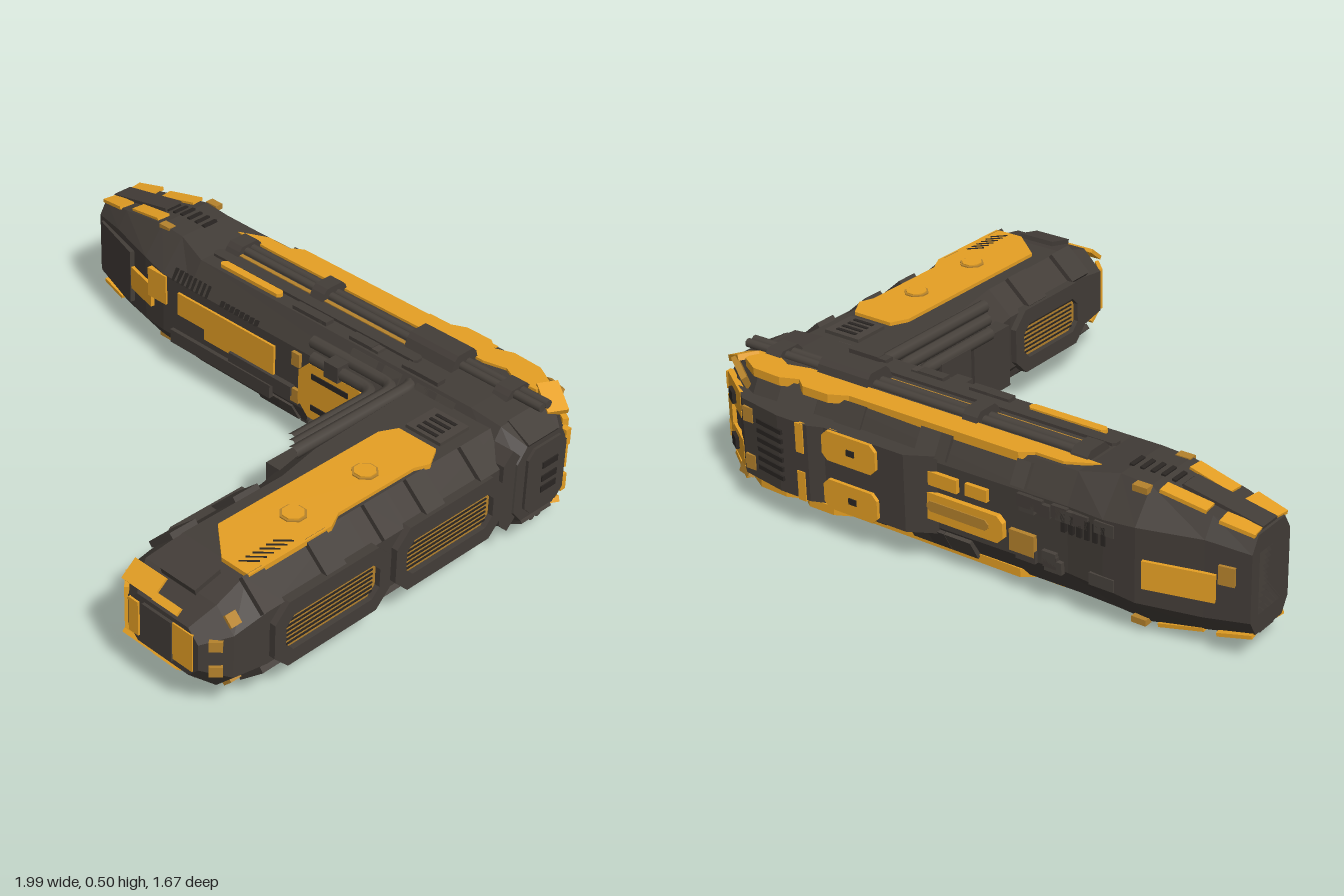
import * as THREE from 'three';

const MID = 0.25; // the hull mirrors about this height

export function createModel() {
  const model = new THREE.Group();
  const material = (name, color) => Object.assign(new THREE.MeshStandardMaterial({ color }), { name });
  const dark = material('dark hull', 0x433d38);
  const steel = material('lighter hull', 0x48423c);
  const black = material('recess black', 0x2a2623);
  const yellow = material('yellow paint', 0xe6a024);
  const worn = material('worn paint', 0xb5822c);

  let seed = 7;
  const rnd = (a, b) => { seed = (seed * 16807) % 2147483647; return a + (b - a) * seed / 2147483647; };

  function add(name, geo, mat) {
    const mesh = new THREE.Mesh(geo, mat);
    mesh.name = name;
    model.add(mesh);
    return mesh;
  }
  function box(name, mat, x0, x1, y0, y1, z0, z1) {
    const g = new THREE.BoxGeometry(x1 - x0, y1 - y0, z1 - z0);
    return add(name, g.translate((x0 + x1) / 2, (y0 + y1) / 2, (z0 + z1) / 2), mat);
  }
  // the same box above and below the middle
  function boxPair(name, mat, x0, x1, y0, y1, z0, z1) {
    box(name, mat, x0, x1, y0, y1, z0, z1);
    box(name, mat, x0, x1, 2 * MID - y1, 2 * MID - y0, z0, z1);
  }
  function tilted(name, mat, x, y, z, w, h, d, rx, ry, rz) {
    const m = add(name, new THREE.BoxGeometry(w, h, d), mat);
    m.position.set(x, y, z);
    m.rotation.set(rx, ry, rz);
  }
  // outline extruded along an axis: x takes (z, y), y takes (x, z), z takes (x, y)
  function prism(name, mat, pts, axis, a, b, hole) {
    const shape = new THREE.Shape(pts.map(p => new THREE.Vector2(...p)));
    if (hole) shape.holes.push(new THREE.Path(hole.map(p => new THREE.Vector2(...p))));
    const g = new THREE.ExtrudeGeometry(shape, { depth: b - a, bevelEnabled: false });
    if (axis === 'x') g.rotateY(-Math.PI / 2).translate(b, 0, 0);
    if (axis === 'y') g.rotateX(Math.PI / 2).translate(0, b, 0);
    if (axis === 'z') g.translate(0, 0, a);
    return add(name, g, mat);
  }
  function prismPair(name, mat, pts, a, b) {
    prism(name, mat, pts, 'y', a, b);
    prism(name, mat, pts, 'y', 2 * MID - b, 2 * MID - a);
  }
  const oct = (u0, u1, v0, v1, c) => [[u0 + c, v0], [u1 - c, v0], [u1, v0 + c], [u1, v1 - c],
    [u1 - c, v1], [u0 + c, v1], [u0, v1 - c], [u0, v0 + c]];

  // chamfered hull from stations [position, low side, high side, half height, chamfer width, chamfer height]
  function hull(name, mat, stations, alongX) {
    const rings = stations.map(([s, lo, hi, h, cw, ch]) => [[lo, h - ch], [lo + cw, h], [hi - cw, h], [hi, h - ch],
      [hi, ch - h], [hi - cw, -h], [lo + cw, -h], [lo, ch - h]]
      .map(([u, v]) => alongX ? [s, v + MID, u] : [u, v + MID, s]));
    const pos = [];
    const tri = (a, b, c) => alongX ? pos.push(...a, ...b, ...c) : pos.push(...a, ...c, ...b);
    for (let i = 0; i < rings.length - 1; i++) {
      for (let j = 0; j < 8; j++) {
        const k = (j + 1) % 8, A = rings[i], B = rings[i + 1];
        tri(A[j], A[k], B[k]);
        tri(A[j], B[k], B[j]);
      }
    }
    const first = rings[0], last = rings[rings.length - 1];
    for (let j = 1; j < 7; j++) {
      tri(first[0], first[j + 1], first[j]);
      tri(last[0], last[j], last[j + 1]);
    }
    const g = new THREE.BufferGeometry();
    g.setAttribute('position', new THREE.Float32BufferAttribute(pos, 3));
    g.computeVertexNormals();
    return add(name, g, mat);
  }

  // main arm, tapering to the left end
  hull('mainArm', dark, [
    [-1, -0.69, -0.49, 0.16, 0.03, 0.05], [-0.86, -0.715, -0.45, 0.185, 0.04, 0.06],
    [-0.66, -0.765, -0.395, 0.222, 0.08, 0.1], [-0.55, -0.765, -0.375, 0.222, 0.09, 0.11],
    [-0.42, -0.755, -0.375, 0.2, 0.055, 0.09], [0.78, -0.77, -0.375, 0.2, 0.05, 0.09],
    [0.9, -0.71, -0.38, 0.19, 0.045, 0.07], [0.98, -0.65, -0.42, 0.14, 0.04, 0.05]], true);
  // side arm, running forwards
  hull('sideArm', dark, [
    [-0.5, 0.47, 0.96, 0.175, 0.09, 0.08], [0.05, 0.49, 0.96, 0.175, 0.09, 0.08],
    [0.22, 0.52, 0.96, 0.175, 0.09, 0.08], [0.62, 0.52, 0.96, 0.175, 0.09, 0.08],
    [0.75, 0.525, 0.955, 0.145, 0.07, 0.07], [0.825, 0.6, 0.89, 0.085, 0.04, 0.04]], false);

  // rear armour bulge
  prism('rearArmour', dark, [[0.05, -0.76], [0.14, -0.81], [0.45, -0.81], [0.5, -0.83], [0.62, -0.83],
    [0.79, -0.8], [0.86, -0.74]], 'y', 0.12, 0.38);

  // roof and floor paint of the main arm
  prismPair('mainStripe', yellow, [[-0.46, -0.64], [-0.36, -0.69], [-0.26, -0.69], [-0.22, -0.72], [0.42, -0.72], [0.48, -0.75],
    [0.58, -0.75], [0.62, -0.72], [0.68, -0.745], [0.79, -0.74], [0.86, -0.7], [0.86, -0.635], [0.78, -0.63], [0.72, -0.66],
    [0.64, -0.64], [-0.3, -0.635]], 0.43, 0.459);
  for (const s of [1, -1]) tilted('mainStripeEnd', yellow, 0.905, MID + s * 0.188, -0.66, 0.11, 0.02, 0.07, 0, -0.5, -s * 0.4);
  prismPair('frontStripe', yellow, oct(-0.35, -0.07, -0.475, -0.445, 0.01), 0.44, 0.463);
  prismPair('frontRail', dark, oct(-0.42, 0.5, -0.52, -0.48, 0.01), 0.44, 0.46);
  prismPair('spinePaint', worn, [[-0.35, -0.555], [0.4, -0.555], [0.4, -0.54], [-0.35, -0.54]], 0.445, 0.453);

  // conduit with clamps down the spine
  for (const y of [0.455, 2 * MID - 0.455]) {
    for (const z of [-0.605, -0.575]) {
      const g = new THREE.CylinderGeometry(0.015, 0.015, 1.33, 10).rotateZ(Math.PI / 2);
      add('spineConduit', g.translate(0.27, y, z), steel);
    }
  }
  for (const [x0, x1, top] of [[-0.41, -0.35, 0.48], [-0.01, 0.045, 0.49], [0.41, 0.61, 0.498], [0.77, 0.83, 0.475]]) {
    const zy = [[-0.66, 0.42], [-0.64, top - 0.015], [-0.625, top], [-0.555, top], [-0.54, top - 0.015], [-0.51, 0.42]];
    prism('spineClamp', dark, zy, 'x', x0, x1);
    prism('spineClamp', dark, zy.map(([z, y]) => [z, 2 * MID - y]), 'x', x0, x1);
  }

  // tapered nose: ridge, paint plates and grilles
  for (const s of [1, -1]) {
    const y = v => MID + s * v;
    for (const side of [1, -1]) {
      tilted('noseTipPaint', yellow, -0.94, y(0.172), -0.59 + side * 0.066, 0.11, 0.012, 0.058, 0, -side * 0.15, s * 0.18);
      tilted('nosePaint', yellow, -0.765, y(0.205), -0.59 + side * 0.073, 0.15, 0.012, 0.05, 0, -side * 0.1, s * 0.19);
      tilted('noseRimPaint', worn, -0.64, y(0.215), -0.59 + side * 0.11, 0.05, 0.02, 0.03, 0, 0, 0);
    }
    tilted('noseRidge', dark, -0.86, y(0.187), -0.59, 0.27, 0.02, 0.075, 0, 0, s * 0.19);
    for (let i = 0; i < 8; i++) {
      const x = -0.8 + i * 0.036;
      const v = Math.min(0.222, 0.185 + (x + 0.86) * 0.185);
      tilted('noseGrille', black, x, y(v), -0.59, 0.014, 0.012, 0.06, 0, 0, s * 0.19);
    }
  }
  box('noseEnd', steel, -1.0, -0.99, 0.15, 0.35, -0.65, -0.53);
  tilted('noseRearPaint', yellow, -0.79, MID - 0.02, -0.737, 0.22, 0.09, 0.014, 0, 0.24, 0);
  tilted('noseRearSpot', worn, -0.93, MID + 0.03, -0.706, 0.05, 0.06, 0.014, 0, 0.18, 0);
  tilted('noseFrontPlate', dark, -0.86, MID, -0.447, 0.24, 0.2, 0.02, 0, -0.3, 0);
  tilted('noseFrontPaint', yellow, -0.685, 0.248, -0.4, 0.16, 0.085, 0.02, 0, -0.24, 0);
  box('noseFrontPaint', yellow, -0.62, -0.53, 0.25, 0.36, -0.39, -0.368);

  // front face of the main arm
  box('frontPaint', yellow, -0.47, -0.01, 0.24, 0.325, -0.38, -0.366);
  box('frontPaint', yellow, -0.34, -0.01, 0.2, 0.24, -0.38, -0.366);
  box('frontRib', dark, -0.21, 0.08, 0.18, 0.215, -0.39, -0.355);
  box('frontRib', dark, -0.5, -0.02, 0.12, 0.17, -0.39, -0.36);
  prism('frontHatch', yellow, oct(0.12, 0.43, 0.145, 0.352, 0.045), 'z', -0.38, -0.35);
  for (const y of [0.18, 0.3]) box('hatchSlot', black, 0.18, 0.34, y, y + 0.02, -0.352, -0.346);
  for (const y of [0.16, 0.3]) box('hatchEdgePaint', worn, 0.075, 0.11, y, y + 0.05, -0.38, -0.362);
  for (let i = 0; i < 8; i++) {
    tilted('frontVent', black, -0.5 + i * 0.023, 0.375, -0.39, 0.009, 0.045, 0.02, -0.5, 0, 0);
    tilted('frontVent', black, -0.26 + i * 0.023, 0.37, -0.377, 0.009, 0.02, 0.02, -0.5, 0, 0);
  }

  // rear face panels
  for (const y of [0.28, 0.115]) {
    prism('rearBlock', yellow, oct(0.24, 0.45, y, y + 0.1, 0.02), 'z', -0.822, -0.8);
    box('rearBlockSlot', black, 0.32, 0.35, y + 0.04, y + 0.06, -0.826, -0.82);
    box('rearBar', yellow, 0.515, 0.545, y, y + 0.1, -0.834, -0.82);
    box('rearSpot', worn, 0.74, 0.78, y + 0.03, y + 0.08, -0.812, -0.79);
  }
  prism('rearPanel', yellow, oct(-0.2, 0.13, 0.17, 0.26, 0.02), 'z', -0.777, -0.75);
  prism('rearPanelInset', worn, oct(-0.15, 0.08, 0.2, 0.235, 0.012), 'z', -0.781, -0.772);
  box('rearStrip', yellow, -0.03, 0.13, 0.285, 0.33, -0.775, -0.75);
  box('rearPaint', worn, -0.31, -0.22, 0.16, 0.23, -0.772, -0.755);
  box('rearPaint', yellow, -0.14, -0.06, 0.29, 0.33, -0.773, -0.755);
  for (let i = 0; i < 6; i++) {
    box('rearVent', black, -0.56 + i * 0.028, -0.545 + i * 0.028, 0.28, 0.34, -0.77, -0.755);
    tilted('rearGrille', black, 0.66, 0.168 + i * 0.032, -0.822, 0.12, 0.015, 0.012, 0, -0.174, 0);
  }

  // outer corner: painted struts with dark openings, and end block
  for (const s of [1, -1]) {
    tilted('cornerPaint', yellow, 0.885, MID + s * 0.085, -0.72, 0.17, 0.09, 0.02, 0, -0.6, 0);
    tilted('cornerOpening', black, 0.895, MID + s * 0.08, -0.722, 0.05, 0.04, 0.03, 0, -0.6, 0);
    tilted('cornerSlopePaint', worn, 0.86, MID + s * 0.158, -0.716, 0.11, 0.07, 0.02, -s * 0.5, -0.6, 0);
    tilted('cornerStrut', dark, 0.93, MID + s * 0.15, -0.53, 0.1, 0.05, 0.14, 0, 0, -s * 0.5);
    box('endPaint', yellow, 0.96, 0.985, MID + s * 0.085 - 0.03, MID + s * 0.085 + 0.03, -0.665, -0.642);
  }
  tilted('cornerPaint', yellow, 0.945, MID, -0.682, 0.05, 0.09, 0.02, 0, -0.6, 0);
  prism('endBlock', dark, oct(-0.64, -0.46, 0.13, 0.37, 0.03), 'x', 0.94, 0.99);
  for (const y of [0.19, 0.23, 0.28]) box('endSlot', black, 0.988, 0.994, y, y + 0.022, -0.6, -0.53);
  prism('endCollar', dark, oct(-0.44, -0.36, 0.1, 0.4, 0.04), 'x', 0.9, 0.975);

  // nested conduits bending round the inner corner
  for (const [d, v] of [[0, 0.128], [0.045, 0.15], [0.09, 0.17]]) {
    for (const s of [1, -1]) {
      const y = MID + s * v, x = 0.455 + d, z = -0.355 - d;
      const path = new THREE.CurvePath();
      const p = (a, b) => new THREE.Vector3(a, y, b);
      path.add(new THREE.LineCurve3(p(0.18 - d, z), p(x - 0.06, z)));
      path.add(new THREE.QuadraticBezierCurve3(p(x - 0.06, z), p(x, z), p(x, z + 0.06)));
      path.add(new THREE.LineCurve3(p(x, z + 0.06), p(x, 0.02 + d)));
      add('cornerConduit', new THREE.TubeGeometry(path, 36, 0.022, 8), steel);
    }
  }
  box('innerBracket', dark, 0.43, 0.53, 0.12, 0.38, -0.26, -0.11);
  box('innerBracket', dark, 0.465, 0.55, 0.14, 0.36, -0.05, 0.14);
  boxPair('conduitClamp', dark, 0.25, 0.31, 0.352, 0.41, -0.39, -0.33);

  // side arm roof and floor armour
  prismPair('sideArmPanel', yellow, [[0.69, -0.2], [0.84, -0.2], [0.88, -0.13], [0.86, -0.08], [0.86, 0.24], [0.89, 0.3],
    [0.89, 0.63], [0.78, 0.63], [0.66, 0.53], [0.66, -0.14]], 0.42, 0.437);
  for (const z of [0.04, 0.34]) {
    prismPair('panelBolt', worn, oct(0.735, 0.815, z - 0.04, z + 0.04, 0.025), 0.434, 0.441);
    prismPair('panelBoltCap', yellow, oct(0.742, 0.808, z - 0.033, z + 0.033, 0.02), 0.438, 0.445);
  }
  for (let i = 0; i < 6; i++) {
    for (const s of [1, -1]) tilted('panelScratch', black, 0.845, MID + s * 0.187, 0.45 + i * 0.027, 0.06, 0.004, 0.006, 0, 0.8, 0);
  }
  boxPair('roofHatch', steel, 0.69, 0.83, 0.42, 0.437, -0.36, -0.23);
  for (let i = 0; i < 4; i++) boxPair('roofHatchSlot', black, 0.72, 0.8, 0.435, 0.44, -0.34 + i * 0.028, -0.328 + i * 0.028);

  // framed windows with slats: [side, z0, z1]
  for (const [side, z0, z1] of [[1, 0.14, 0.615], [1, -0.36, 0.115], [-1, 0.22, 0.62]]) {
    const wall = side > 0 ? 0.96 : 0.52;
    const at = (name, mat, pts, a, b, hole) =>
      prism(name, mat, pts, 'x', side > 0 ? wall + a : wall - b, side > 0 ? wall + b : wall - a, hole);
    const opening = oct(z0 + 0.045, z1 - 0.045, 0.175, 0.3, 0.03);
    at('windowFrame', dark, oct(z0, z1, 0.125, 0.355, 0.055), -0.01, 0.022, opening);
    at('windowPane', worn, opening, -0.005, 0.003);
    for (let i = 0; i < 7; i++) {
      const y = 0.187 + i * 0.016;
      at('windowSlat', black, [[z0 + 0.06, y], [z1 - 0.06, y], [z1 - 0.06, y + 0.005], [z0 + 0.06, y + 0.005]], 0, 0.007);
    }
  }
  // braces over the chamfered edges of the side arm
  for (const s of [1, -1]) {
    for (const z of [-0.3, -0.06, 0.12, 0.36, 0.61]) {
      tilted('edgeBrace', dark, 0.92, MID + s * 0.14, z, 0.12, 0.02, 0.08, 0, 0, -s * 0.73);
      if (z > 0.2) tilted('edgeBrace', dark, 0.56, MID + s * 0.14, z, 0.12, 0.02, 0.1, 0, 0, s * 0.73);
    }
  }

  // painted end of the side arm
  box('endPlate', dark, 0.67, 0.79, 0.18, 0.32, 0.81, 0.835);
  box('endFacePaint', yellow, 0.79, 0.87, 0.19, 0.32, 0.815, 0.83);
  box('endFacePaint', yellow, 0.61, 0.65, 0.19, 0.31, 0.815, 0.832);
  tilted('endCornerPaint', yellow, 0.562, MID, 0.792, 0.08, 0.15, 0.014, 0, -0.785, 0);
  for (const s of [1, -1]) {
    tilted('endSlopePaint', yellow, 0.635, MID + s * 0.115, 0.79, 0.13, 0.014, 0.07, s * 0.68, 0, 0);
    tilted('endSlopeStrip', yellow, 0.75, MID + s * 0.1, 0.81, 0.1, 0.014, 0.025, s * 0.68, 0, 0);
    tilted('endSlopeBlock', dark, 0.74, MID + s * 0.155, 0.71, 0.14, 0.03, 0.1, s * 0.23, 0, 0);
    tilted('endSpot', worn, 0.925, MID + s * 0.105, 0.73, 0.04, 0.02, 0.04, 0, 0, -s * 0.785);
    tilted('endSpot', worn, 0.925, MID + s * 0.045, 0.79, 0.04, 0.035, 0.014, 0, 0.785, 0);
  }

  // scattered hull plating
  for (let i = 0; i < 24; i++) {
    const x = rnd(-0.5, 0.6), w = rnd(0.04, 0.13), s = i % 2 ? 1 : -1, front = i % 4 < 2;
    const y = MID + s * rnd(0.198, 0.203);
    if (x > -0.03) box('roofPlating', i % 3 ? dark : steel, x, x + w, y - 0.012, y + 0.012, -0.47, -0.435);
    tilted('chamferPlating', i % 3 ? steel : dark, rnd(-0.25, 0.7), MID + s * 0.155, front ? -0.401 : -0.739,
      w, 0.08, 0.016, (front ? -1 : 1) * s * 0.507, 0, 0);
    const v = MID + s * rnd(0.07, 0.1);
    if (x < 0.1) box('rearPlating', i % 3 ? dark : steel, x * 0.5 - 0.34, x * 0.5 - 0.34 + w * 0.7, v - 0.02, v + 0.02, -0.77, -0.75);
  }
  return model;
}
